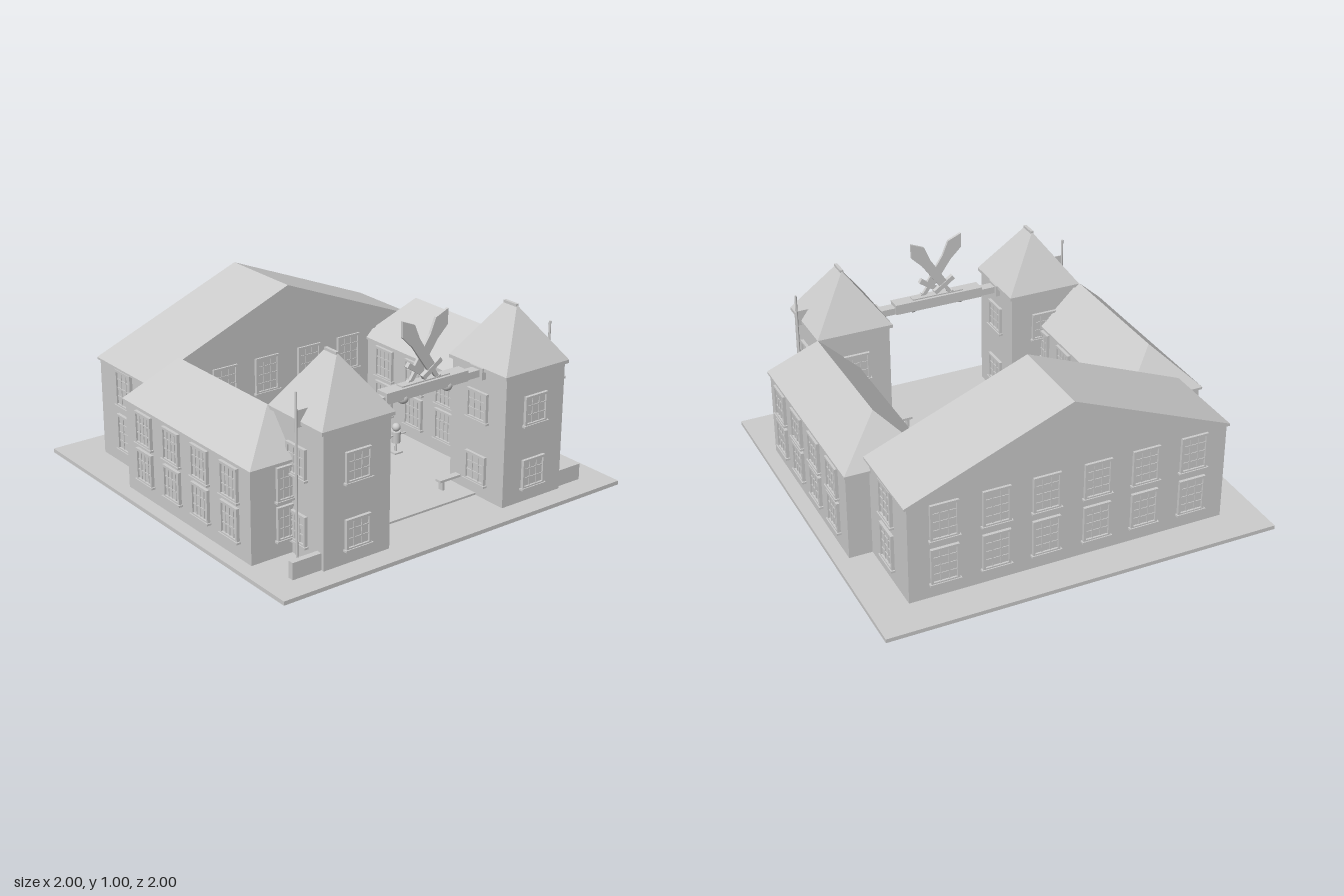
import * as THREE from 'three';

const stone = new THREE.MeshStandardMaterial({ color: 0xcccccc });
stone.name = 'pale stone grey';

function mesh(parent, name, geometry, x = 0, y = 0, z = 0) {
  const m = new THREE.Mesh(geometry, stone);
  m.name = name;
  m.position.set(x, y, z);
  parent.add(m);
  return m;
}

// Box given by its minimum and maximum on each axis
function block(parent, name, x0, x1, y0, y1, z0, z1) {
  return mesh(parent, name, new THREE.BoxGeometry(x1 - x0, y1 - y0, z1 - z0),
    (x0 + x1) / 2, (y0 + y1) / 2, (z0 + z1) / 2);
}

function group(parent, name, x = 0, y = 0, z = 0) {
  const g = new THREE.Group();
  g.name = name;
  g.position.set(x, y, z);
  parent.add(g);
  return g;
}

// Roof: a box whose top is pinched to a ridge along z
function roof(parent, name, x0, x1, y0, y1, z0, z1, ridge) {
  const g = new THREE.BoxGeometry(x1 - x0, y1 - y0, z1 - z0);
  const p = g.attributes.position;
  for (let i = 0; i < p.count; i++) {
    if (p.getY(i) > 0) {
      p.setX(i, 0);
      p.setZ(i, Math.sign(p.getZ(i)) * ridge / 2);
    }
  }
  g.computeVertexNormals();
  return mesh(parent, name, g, (x0 + x1) / 2, (y0 + y1) / 2, (z0 + z1) / 2);
}

// Framed window with glazing bars, facing +z before turning
function addWindow(parent, x, y, z, turn, w, h, cols, rows) {
  const g = group(parent, 'window', x, y, z);
  g.rotation.y = turn;
  const t = 0.012;
  for (const s of [-1, 1]) {
    mesh(g, 'windowJamb', new THREE.BoxGeometry(t, h, 0.028), s * (w - t) / 2, 0, 0);
    mesh(g, 'windowRail', new THREE.BoxGeometry(w, t, 0.028), 0, s * (h - t) / 2, 0);
  }
  mesh(g, 'windowSill', new THREE.BoxGeometry(w + 0.015, 0.01, 0.04), 0, -h / 2, 0);
  mesh(g, 'windowPane', new THREE.BoxGeometry(w - t, h - t, 0.006), 0, 0, 0.001);
  for (let i = 1; i < cols; i++)
    mesh(g, 'glazingBar', new THREE.BoxGeometry(0.006, h - t, 0.016), (i / cols - 0.5) * (w - t), 0, 0);
  for (let i = 1; i < rows; i++)
    mesh(g, 'glazingBar', new THREE.BoxGeometry(w - t, 0.006, 0.016), 0, (i / rows - 0.5) * (h - t), 0);
}

const Q = Math.PI / 2;

function mainHall(root) {
  const g = group(root, 'mainHall');
  block(g, 'hallWalls', -0.81, 0.81, 0.02, 0.53, -0.81, -0.355);
  block(g, 'hallEaves', -0.825, 0.825, 0.522, 0.533, -0.815, -0.345);
  roof(g, 'hallRoof', -0.825, 0.825, 0.533, 0.865, -0.815, -0.345, 0.47);
  for (const y of [0.19, 0.425]) {
    for (const x of [0.13, 0.38, 0.635])
      for (const s of [-1, 1]) addWindow(g, s * x, y, -0.812, Math.PI, 0.14, 0.19, 3, 4);
    for (const s of [-1, 1]) {
      addWindow(g, s * 0.812, y, -0.58, s * Q, 0.14, 0.19, 3, 4);
      addWindow(g, s * 0.38, y, -0.353, 0, 0.14, 0.19, 3, 4);
    }
  }
  for (const s of [-1, 1]) addWindow(g, s * 0.13, 0.425, -0.353, 0, 0.14, 0.19, 3, 4);
  // Door with frame
  block(g, 'door', -0.07, 0.07, 0.02, 0.265, -0.36, -0.35);
  for (const s of [-1, 1])
    mesh(g, 'doorJamb', new THREE.BoxGeometry(0.012, 0.255, 0.03), s * 0.076, 0.147, -0.35);
  block(g, 'doorLintel', -0.082, 0.082, 0.263, 0.277, -0.365, -0.335);
}

// Side wing centred on its ridge at x = 0
function wing(root, side) {
  const g = group(root, 'wing', side * 0.722);
  block(g, 'wingWalls', -0.205, 0.205, 0.02, 0.47, -0.375, 0.655);
  block(g, 'wingEaves', -0.215, 0.215, 0.466, 0.478, -0.39, 0.67);
  roof(g, 'wingRoof', -0.215, 0.215, 0.478, 0.685, -0.39, 0.67, 0.72);
  for (const y of [0.182, 0.372]) {
    for (const z of [-0.21, 0.028, 0.265, 0.5])
      for (const s of [-1, 1]) addWindow(g, s * 0.207, y, z, s * Q, 0.135, 0.165, 4, 3);
    addWindow(g, 0, y, 0.657, 0, 0.14, 0.165, 4, 3);
  }
}

function tower(root, side) {
  const g = group(root, 'tower', side * 0.523, 0, 0.7);
  block(g, 'towerWalls', -0.183, 0.183, 0.02, 0.668, -0.187, 0.187);
  block(g, 'towerEaves', -0.198, 0.198, 0.665, 0.682, -0.198, 0.198);
  roof(g, 'towerRoof', -0.198, 0.198, 0.682, 0.95, -0.198, 0.198, 0.08);
  block(g, 'towerRidgeCap', -0.008, 0.008, 0.942, 0.955, -0.042, 0.042);
  for (const y of [0.163, 0.483])
    for (let i = 0; i < 4; i++) {
      const d = i % 2 ? 0.185 : 0.189;
      addWindow(g, Math.sin(i * Q) * d, y, Math.cos(i * Q) * d, i * Q, 0.138, 0.148, 3, 3);
    }
}

// Broad sword standing on its pommel
function sword(parent, side) {
  const g = group(parent, 'sword', side * 0.075, 0.685, side * 0.011);
  g.rotation.z = side * 0.6;
  const s = new THREE.Shape([[-0.024, 0.07], [0.024, 0.07], [0.026, 0.24], [0.042, 0.32],
    [0, 0.385], [-0.042, 0.32], [-0.026, 0.24]].map(([x, y]) => new THREE.Vector2(x, y)));
  mesh(g, 'blade', new THREE.ExtrudeGeometry(s, { depth: 0.014, bevelEnabled: false }), 0, 0, -0.007);
  mesh(g, 'crossguard', new THREE.BoxGeometry(0.125, 0.024, 0.022), 0, 0.07, 0);
  mesh(g, 'grip', new THREE.BoxGeometry(0.02, 0.07, 0.016), 0, 0.03, 0);
  mesh(g, 'pommel', new THREE.BoxGeometry(0.034, 0.024, 0.02), 0, 0.002, 0);
}

function gate(root) {
  const g = group(root, 'gateway', 0, 0, 0.7);
  block(g, 'gateBeam', -0.24, 0.24, 0.637, 0.69, -0.035, 0.035);
  for (const s of [-1, 1]) {
    block(g, 'beamEnd', s < 0 ? -0.345 : 0.24, s < 0 ? -0.24 : 0.345, 0.637, 0.672, -0.026, 0.026);
    block(g, 'beamBracket', s * 0.33 - 0.014, s * 0.33 + 0.014, 0.625, 0.682, -0.045, 0.045);
    mesh(g, 'lamp', new THREE.SphereGeometry(0.027, 16, 12), s * 0.13, 0.637, 0.012);
  }
  block(g, 'swordBase', -0.14, 0.14, 0.685, 0.696, -0.02, 0.02);
  for (const s of [-1, 1]) sword(g, s);
}

// Training dummy on a post
function dummy(root, x) {
  const g = group(root, 'trainingDummy', x, 0, 0.1);
  block(g, 'dummyFoot', -0.026, 0.026, 0.028, 0.038, -0.026, 0.026);
  mesh(g, 'dummyPost', new THREE.CylinderGeometry(0.006, 0.006, 0.12, 8), 0, 0.09, 0);
  mesh(g, 'dummyBody', new THREE.CylinderGeometry(0.024, 0.022, 0.06, 12), 0, 0.115, 0);
  mesh(g, 'dummyArms', new THREE.CylinderGeometry(0.005, 0.005, 0.12, 8), 0, 0.125, 0).rotation.z = Q;
  mesh(g, 'dummyHead', new THREE.SphereGeometry(0.022, 16, 12), 0, 0.167, 0);
}

function rack(root, side) {
  const g = group(root, 'weaponRack', side * 0.322, 0, -0.24);
  for (const s of [-1, 1])
    mesh(g, 'rackPost', new THREE.BoxGeometry(0.012, 0.16, 0.016), s * 0.105, 0.11, 0);
  for (const y of [0.08, 0.15, 0.185])
    mesh(g, 'rackBar', new THREE.BoxGeometry(0.225, 0.01, 0.014), 0, y, 0);
  for (let i = -3; i <= 3; i++)
    mesh(g, 'rackWeapon', new THREE.BoxGeometry(0.008, 0.12, 0.008), i * 0.027, 0.1, 0.012).rotation.x = -0.06;
}

function bench(root, side) {
  const g = group(root, 'bench', side * 0.295, 0, 0.573);
  mesh(g, 'benchSeat', new THREE.BoxGeometry(0.165, 0.012, 0.036), 0, 0.08, 0);
  for (const s of [-1, 1])
    mesh(g, 'benchLeg', new THREE.BoxGeometry(0.012, 0.055, 0.03), s * 0.06, 0.05, 0);
}

function flagpole(root, side) {
  const g = group(root, 'flagpole', side * 0.742, 0, 0.74);
  mesh(g, 'pole', new THREE.CylinderGeometry(0.006, 0.006, 0.8, 10), 0, 0.425, 0);
  mesh(g, 'flag', new THREE.BoxGeometry(0.075, 0.08, 0.004), -side * 0.038, 0.697, 0);
}

export function createModel() {
  const root = new THREE.Group();
  root.name = 'walledManor';
  block(root, 'groundSlab', -1, 1, 0, 0.02, -1, 1);
  block(root, 'courtyardPaving', -0.52, 0.52, 0.015, 0.03, -0.265, 0.7);
  mainHall(root);
  gate(root);
  for (const s of [-1, 1]) {
    wing(root, s);
    tower(root, s);
    rack(root, s);
    bench(root, s);
    flagpole(root, s);
    mesh(root, 'lowWall', new THREE.BoxGeometry(0.16, 0.085, 0.03), s * 0.78, 0.06, 0.855);
  }
  for (const x of [-0.34, 0, 0.34]) dummy(root, x);
  return root;
}
